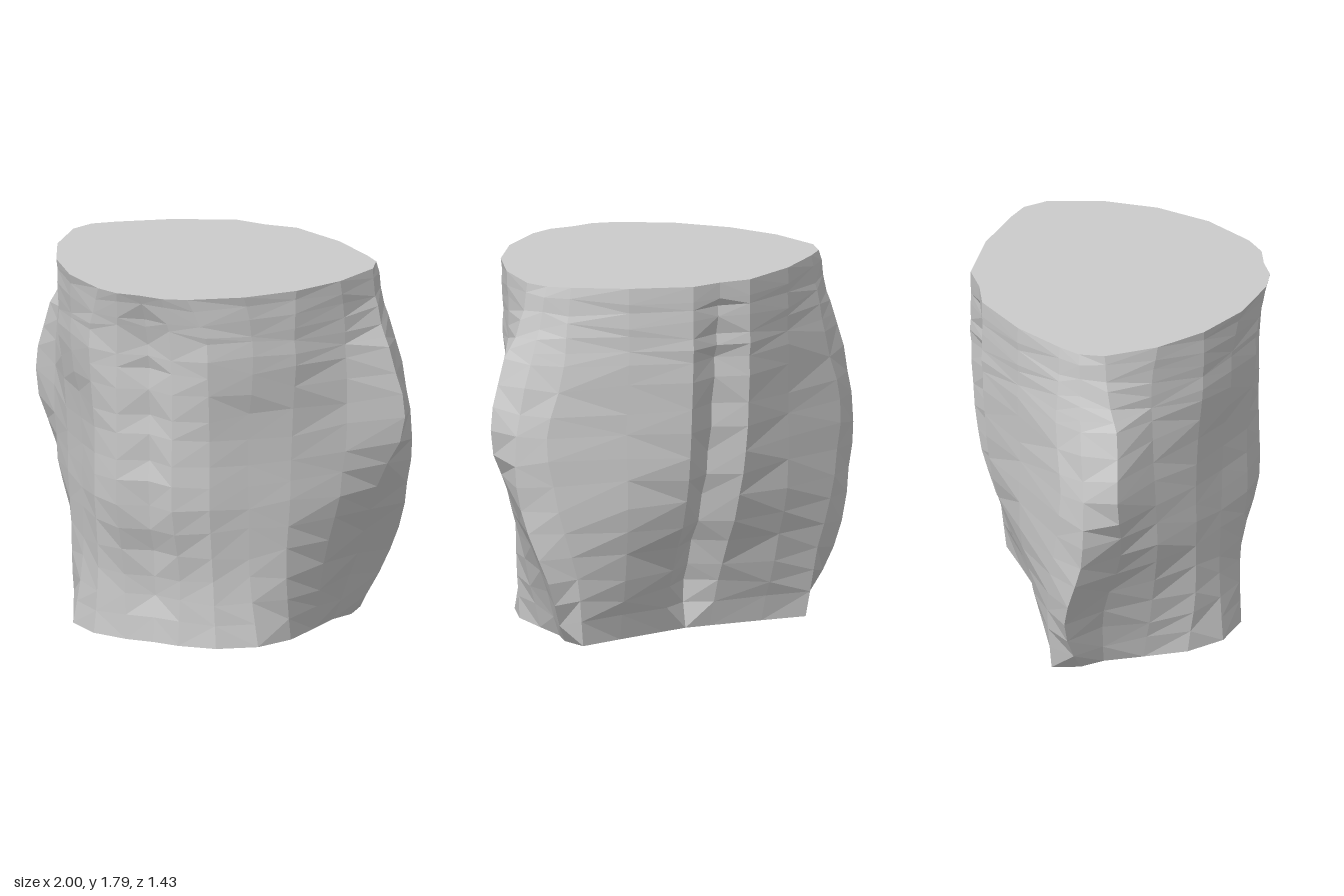
import * as THREE from 'three';

const HEIGHT = 1.79;
const ROWS = 19;

// Half cross-sections: [height, x,z pairs from beside the front groove, round the flank, to beside the spine]
const SECTIONS = [
  [0, .14, .56, .33, .53, .50, .41, .585, .22, .60, 0, .61, -.20, .65, -.32, .63, -.46, .40, -.425, .13, -.39],
  [.33, .15, .56, .31, .52, .45, .40, .58, .26, .67, .03, .73, -.22, .81, -.43, .68, -.49, .42, -.51, .14, -.49],
  [.70, .15, .65, .31, .56, .45, .41, .60, .26, .76, .04, .87, -.16, .93, -.37, .78, -.48, .45, -.585, .15, -.64],
  [1.05, .15, .65, .31, .56, .45, .42, .61, .26, .79, .02, 1.0, -.20, .95, -.36, .83, -.45, .46, -.585, .16, -.70],
  [1.40, .15, .65, .32, .60, .49, .45, .64, .28, .78, .01, .92, -.19, .87, -.36, .74, -.46, .45, -.595, .16, -.72],
  [1.60, .14, .66, .31, .61, .49, .46, .64, .29, .77, .01, .84, -.22, .81, -.35, .71, -.44, .45, -.595, .16, -.72],
  [HEIGHT, .12, .71, .24, .67, .47, .51, .65, .29, .765, .04, .81, -.23, .77, -.35, .68, -.43, .45, -.595, .16, -.72],
];

// Repeatable value from -1 to 1 for a grid position
function noise(a, b) {
  const s = Math.sin(a * 127.1 + b * 311.7) * 43758.5453;
  return (s - Math.floor(s)) * 2 - 1;
}

// One smooth curve runs up the body through each outline point
function makeRails() {
  const rails = [];
  for (let k = 1; k < SECTIONS[0].length; k += 2) {
    rails.push(new THREE.CatmullRomCurve3(
      SECTIONS.map((s) => new THREE.Vector3(s[k], s[0], s[k + 1])), false, 'centripetal'));
  }
  return rails;
}

// Full closed ring for one row, mirrored across x = 0
function makeRing(rails, row) {
  const t = row / (ROWS - 1);
  const end = row === 0 || row === ROWS - 1;
  const half = rails.map((rail, i) => {
    const p = rail.getPoint(t);
    if (!end) {
      const swell = 1 + 0.005 * noise(row, i);
      p.x *= swell;
      p.z *= swell;
      p.y += 0.02 * noise(row + 40, i);
    }
    return p;
  });
  // V-shaped grooves down the front and the spine; the spine is deepest near the waist
  const ripple = end ? 0 : 0.006 * (row % 2 ? 1 : -1);
  const first = half[0];
  const last = half[half.length - 1];
  const frontDepth = 0.01 + 0.05 * Math.sin(Math.PI * t);
  const spineDepth = 0.015 + 0.09 * Math.sin(Math.PI * Math.sqrt(t));
  const front = new THREE.Vector3(0, first.y, first.z - frontDepth + ripple);
  const spine = new THREE.Vector3(0, last.y, last.z + spineDepth - ripple);
  const mirrored = half.map((p) => new THREE.Vector3(-p.x, p.y, p.z)).reverse();
  return [front, ...half, spine, ...mirrored];
}

function facetedMesh(name, triangles, material) {
  const geometry = new THREE.BufferGeometry().setFromPoints(triangles);
  geometry.computeVertexNormals();
  const mesh = new THREE.Mesh(geometry, material);
  mesh.name = name;
  return mesh;
}

export function createModel() {
  const group = new THREE.Group();
  group.name = 'torso';
  const material = new THREE.MeshStandardMaterial({ color: 0xcccccc, flatShading: true });

  const rails = makeRails();
  const rings = Array.from({ length: ROWS }, (_, row) => makeRing(rails, row));
  const count = rings[0].length;

  // Body wall, with the quad diagonals varied but mirrored left to right
  const wall = [];
  for (let r = 0; r < ROWS - 1; r++) {
    for (let i = 0; i < count; i++) {
      const j = (i + 1) % count;
      const a = rings[r][i], b = rings[r][j], c = rings[r + 1][j], d = rings[r + 1][i];
      const isMirror = i >= count / 2;
      const flip = (noise(r, isMirror ? count - 1 - i : i) > 0) !== isMirror;
      if (flip) wall.push(a, b, c, a, c, d);
      else wall.push(a, b, d, b, c, d);
    }
  }
  group.add(facetedMesh('bodyWall', wall, material));

  // Flat cut ends
  const caps = [['topCut', rings[ROWS - 1], true], ['bottomCut', rings[0], false]];
  for (const [name, ring, up] of caps) {
    const center = new THREE.Vector3(0, ring[0].y, 0);
    const fan = [];
    ring.forEach((p, i) => {
      const q = ring[(i + 1) % count];
      fan.push(center, ...(up ? [p, q] : [q, p]));
    });
    group.add(facetedMesh(name, fan, material));
  }
  return group;
}
